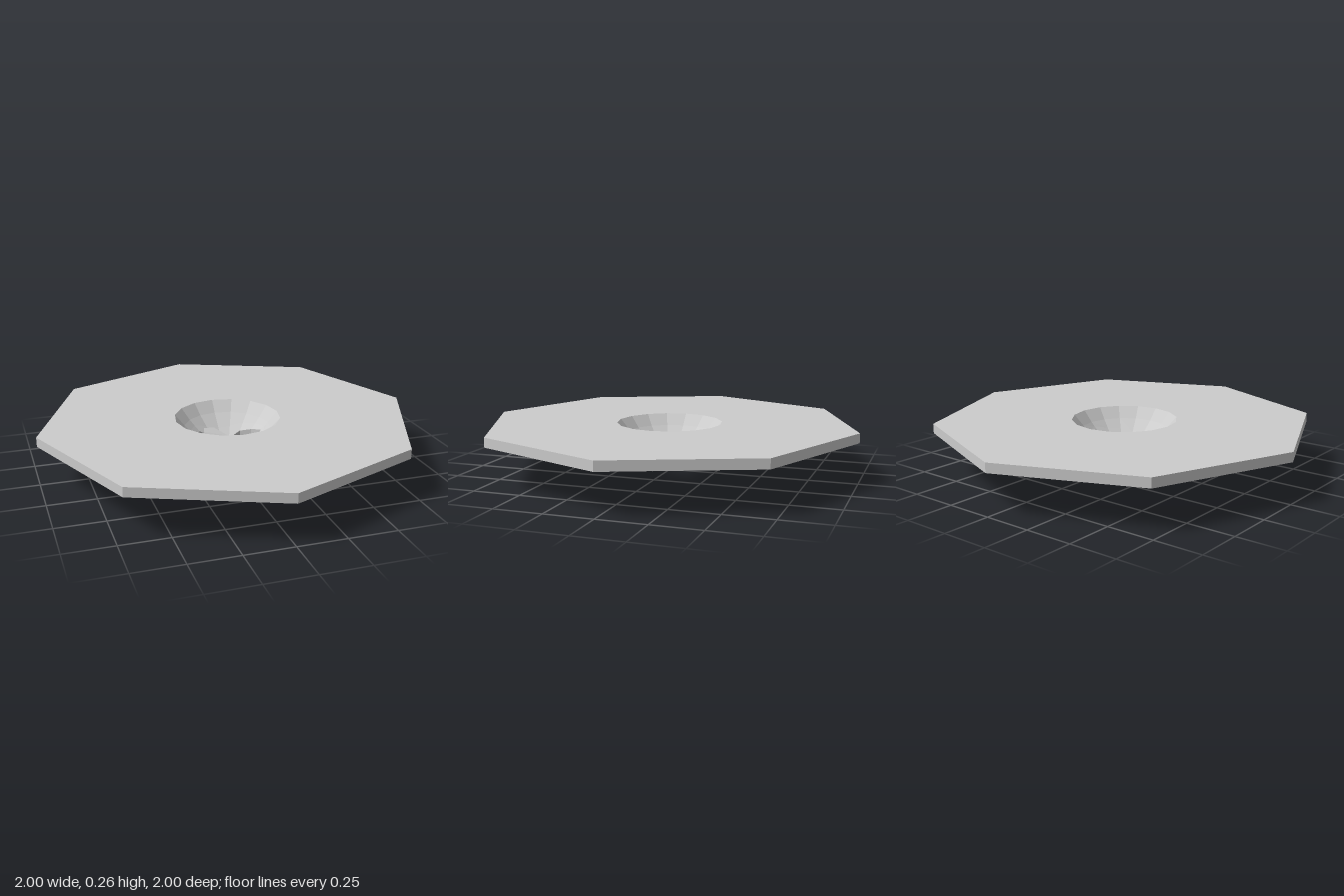
import * as THREE from 'three';

const TOP = 0.26, UNDER = 0.21, RIM = 0.28, SIDES = 16;
const mat = new THREE.MeshStandardMaterial({ color: 0xcccccc, flatShading: true, side: THREE.DoubleSide });

function add(group, name, geometry) {
  const mesh = new THREE.Mesh(geometry, mat);
  mesh.name = name;
  group.add(mesh);
  return mesh;
}

// Triangle soup with flat normals
function soup(tris) {
  const g = new THREE.BufferGeometry();
  g.setAttribute('position', new THREE.Float32BufferAttribute(tris.flat(), 3));
  g.computeVertexNormals();
  return g;
}

function ring(n, r) {
  return Array.from({ length: n }, (_, i) => {
    const a = (i / n) * Math.PI * 2;
    return new THREE.Vector2(r * Math.cos(a), r * Math.sin(a));
  });
}

// Flat octagon with a round hole
function plate(holeRadius) {
  const shape = new THREE.Shape(ring(8, 1));
  shape.holes.push(new THREE.Path(ring(SIDES, holeRadius)));
  return new THREE.ShapeGeometry(shape);
}

// Broken piece: a polygon pushed along an offset
function shard(points, offset) {
  const far = points.map(p => p.map((v, k) => v + offset[k]));
  const tris = [];
  const n = points.length;
  for (let i = 1; i < n - 1; i++) {
    tris.push(...points[0], ...points[i], ...points[i + 1]);
    tris.push(...far[0], ...far[i + 1], ...far[i]);
  }
  for (let i = 0; i < n; i++) {
    const j = (i + 1) % n;
    tris.push(...points[i], ...far[i], ...far[j], ...points[i], ...far[j], ...points[j]);
  }
  // Turn the faces outward when the polygon runs the other way
  const [a, b, c] = points.map(p => new THREE.Vector3(...p));
  const normal = b.clone().sub(a).cross(c.clone().sub(a));
  if (normal.dot(new THREE.Vector3(...offset)) > 0) {
    for (let i = 0; i < tris.length; i += 9) {
      for (let k = 0; k < 3; k++) [tris[i + 3 + k], tris[i + 6 + k]] = [tris[i + 6 + k], tris[i + 3 + k]];
    }
  }
  return soup(tris);
}

// Height of the inside of the bowl at a radius
function bowlHeight(r) {
  if (r > 0.22) return 0.19 + (r - 0.22) * (0.07 / 0.06);
  return 0.19 - (0.22 - r) * 0.9;
}

// Cracked bowl: cross-sections around the axis, each ending at its own broken edge
function bowl() {
  const edge = [0.19, 0.15, 0.13, 0.1, 0.11, 0.1, 0.14, 0.16, 0.155, 0.17, 0.17, 0.13, 0.09, 0.11, 0.15, 0.17];
  const sections = edge.map((r, i) => {
    const a = (i / SIDES) * Math.PI * 2;
    const bulge = Math.max(0, Math.cos(a)) ** 2;
    const mid = (r + 0.23) / 2;
    const y = bowlHeight(r);
    return [
      [RIM, TOP], [0.23, bowlHeight(0.23)], [mid, bowlHeight(mid)], [r, y],
      [r + 0.005, y - 0.02 - 0.06 * bulge],
      [0.195 + 0.085 * bulge, 0.15 - 0.01 * bulge],
      [0.24 + 0.045 * bulge, UNDER],
    ].map(([d, h]) => [d * Math.cos(a), h, d * Math.sin(a)]);
  });
  const tris = [];
  sections.forEach((s, i) => {
    const t = sections[(i + 1) % SIDES];
    for (let k = 0; k < s.length - 1; k++) {
      tris.push(...s[k], ...s[k + 1], ...t[k + 1], ...s[k], ...t[k + 1], ...t[k]);
    }
  });
  // Each quad strip runs rim, inside, broken edge, outside
  for (let i = 0; i < tris.length; i += 9) {
    for (let k = 0; k < 3; k++) [tris[i + 3 + k], tris[i + 6 + k]] = [tris[i + 6 + k], tris[i + 3 + k]];
  }
  return soup(tris);
}

export function createModel() {
  const model = new THREE.Group();
  model.name = 'crackedGroundSlab';

  // Octagonal slab
  const top = add(model, 'slabTop', plate(RIM));
  top.rotation.x = -Math.PI / 2;
  top.position.y = TOP;
  const under = add(model, 'slabUnderside', plate(0.238));
  under.rotation.x = Math.PI / 2;
  under.position.y = UNDER;
  add(model, 'slabEdge', new THREE.CylinderGeometry(1, 1, TOP - UNDER, 8, 1, true))
    .position.y = (TOP + UNDER) / 2;

  // Broken bowl under the hole
  add(model, 'crackedBowl', bowl());

  // Fragments hanging below the bowl
  const pieces = {
    frontFragment: [[[-0.2, 0.1, 0.19], [-0.17, 0.145, 0.24], [0.14, 0.06, 0.145], [0.08, 0, 0.07], [-0.14, 0.04, 0.12]], [0, 0.025, -0.022]],
    frontChip: [[[-0.1, 0.06, 0.1], [-0.02, 0.08, 0.11], [0.02, 0.05, 0.06], [-0.05, 0.04, 0.07]], [0, 0.02, -0.01]],
    rightBackFragment: [[[-0.17, 0.13, -0.16], [-0.03, 0.12, -0.17], [0.04, 0.08, -0.12], [-0.03, 0.05, -0.08], [-0.13, 0.07, -0.1]], [0, 0.025, 0.018]],
    backChip: [[[-0.06, 0.05, -0.09], [0.03, 0.06, -0.11], [0, 0.03, -0.06], [-0.04, 0.03, -0.05]], [0, 0.018, 0.01]],
    leftFragment: [[[0.12, 0.08, 0.1], [0.17, 0.1, 0.07], [0.16, 0.09, 0.03], [0.1, 0.06, 0.06]], [-0.01, 0.03, 0]],
    leftChip: [[[0.14, 0.09, -0.02], [0.2, 0.12, 0], [0.19, 0.11, 0.03], [0.12, 0.08, 0]], [-0.01, 0.025, 0]],
  };
  for (const [name, [points, offset]] of Object.entries(pieces)) add(model, name, shard(points, offset));

  return model;
}
